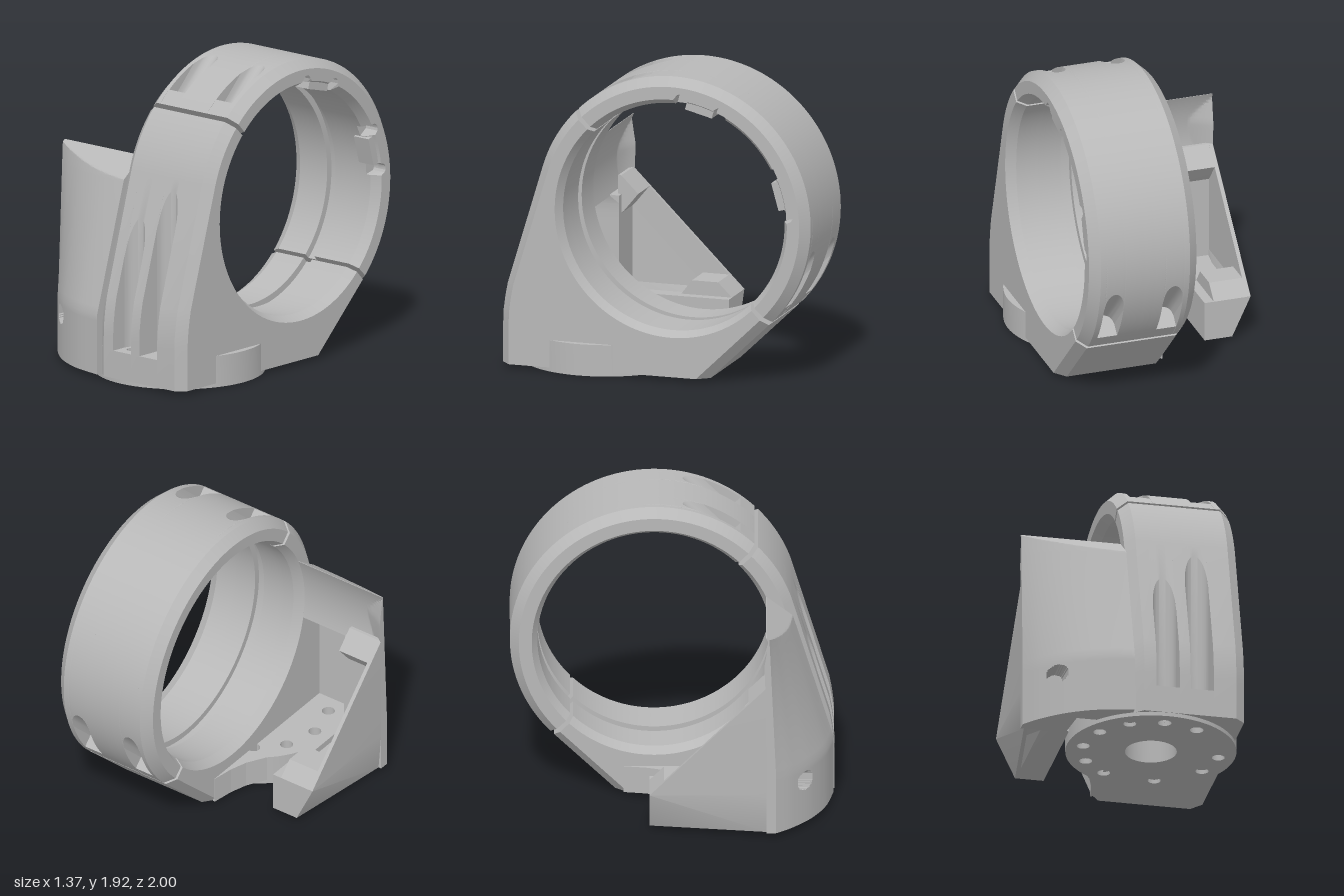
import * as THREE from 'three';
import { toCreasedNormals } from 'three/addons/utils/BufferGeometryUtils.js';

const CY = 1.03, CZ = -0.11, R = 0.89, BORE = 0.72, LEFT = -0.06, RIGHT = 0.64, GAP = 1;
const rad = THREE.MathUtils.degToRad, deg = THREE.MathUtils.radToDeg;
const polar = (r, a) => [CZ + r * Math.cos(rad(a)), CY + r * Math.sin(rad(a))];
const arc = (r, a0, a1, n) => Array.from({ length: n + 1 }, (_, i) => polar(r, a0 + (a1 - a0) * i / n));
const steps = (a, b, n) => Array.from({ length: n + 1 }, (_, i) => a + (b - a) * i / n);
const half = (r, d) => Math.sqrt(Math.max(0, r * r - d * d));
const alongX = (u, v, w) => [w, v, u]; // sections hold (z, y)
const alongY = (u, v, w) => [u, w, v]; // sections hold (x, z)
const alongZ = (u, v, w) => [u, v, w]; // sections hold (x, y)

// Closed solid through matching cross-sections: [{ at, pts }]
function loft(sections, place) {
  const toV2 = pts => pts.map(p => new THREE.Vector2(p[0], p[1]));
  if (THREE.ShapeUtils.area(toV2(sections[0].pts)) < 0) {
    sections = sections.map(s => ({ at: s.at, pts: s.pts.slice().reverse() }));
  }
  const n = sections[0].pts.length, last = sections.length - 1, pos = [], idx = [];
  sections.forEach(s => s.pts.forEach(p => pos.push(...place(p[0], p[1], s.at))));
  for (let k = 0; k < last; k++) {
    for (let i = 0; i < n; i++) {
      const a = k * n + i, b = k * n + (i + 1) % n;
      idx.push(a, b, b + n, a, b + n, a + n);
    }
  }
  for (const [a, b, c] of THREE.ShapeUtils.triangulateShape(toV2(sections[0].pts), [])) idx.push(a, c, b);
  for (const [a, b, c] of THREE.ShapeUtils.triangulateShape(toV2(sections[last].pts), [])) {
    idx.push(a + last * n, b + last * n, c + last * n);
  }
  // Turn the faces outwards when the axes are mirrored
  const v = i => new THREE.Vector3().fromArray(pos, i * 3);
  let volume = 0;
  for (let i = 0; i < idx.length; i += 3) volume += v(idx[i]).dot(v(idx[i + 1]).cross(v(idx[i + 2])));
  if (volume < 0) idx.reverse();
  const g = new THREE.BufferGeometry();
  g.setAttribute('position', new THREE.Float32BufferAttribute(pos, 3));
  g.setIndex(idx);
  return toCreasedNormals(g, 0.4);
}

// Lower housing profile; c insets the outer edge, b is the bore radius, slot cuts the front
function bodyProfile(c, b, slot) {
  const pts = arc(R - c, 45 - GAP, 17, 28);
  if (slot) {
    const { zi, zc, h } = slot;
    pts.push([zi, 1.29 - (zi - 0.74) * 3.304], [zi, 0.2]);
    if (h === null) pts.push([1, 0.2], [1, 0.025]);
    else pts.push([zc - h, 0.2], [zc - h, 0.025]);
  } else {
    pts.push([0.97 - c, 0.53], [0.985 - c, 0.45], [0.997 - c, 0.36], [1 - c, 0.28], [1 - c, 0.025]);
  }
  // Underside, recessed above the centre hole of the base
  pts.push([0.66, 0.025], [0.66, 0.18], [0.28, 0.18], [0.28, 0.025], [-0.35 + c * 1.4, 0.025]);
  return [...pts, polar(R - c, 225 + GAP), ...arc(b, 225 + GAP, 405 - GAP, 89)];
}

// Upper cap profile; si is the depth of the bolt pockets along the split
function capProfile(c, b, si, notched) {
  const r = R - c, pts = [];
  if (si) {
    const t = 0.127, a0 = 45 + deg(Math.asin(t / R)), a1 = 45 + deg(Math.acos(si / R));
    const floor = polar(Math.hypot(si, t), 45 + deg(Math.atan2(t, si)));
    const floor2 = polar(Math.hypot(si, t), 225 - deg(Math.atan2(t, si)));
    pts.push(polar(R, 45 + GAP), polar(R, a0), floor, ...arc(R, a1, 270 - a1, 120), floor2,
      polar(R, 270 - a0), polar(R, 225 - GAP));
  } else {
    pts.push(...arc(r, 45 + GAP, 225 - GAP, 178));
  }
  for (let a = 225 - GAP; a >= 45 + GAP; a--) {
    let rr = b;
    if (notched) for (const n of [94.5, 114.5, 154, 175]) {
      const d = 0.765 * rad(a - n);
      if (Math.abs(d) < 0.035) rr = Math.max(rr, 0.76 + half(0.035, d));
    }
    pts.push(polar(rr, a));
  }
  return pts;
}

export function createModel() {
  const root = new THREE.Group();
  const metal = new THREE.MeshStandardMaterial({ color: 0xb8b8b8 });
  metal.name = 'plain grey';
  const add = (name, geometry, parent = root) => {
    const m = new THREE.Mesh(geometry, metal);
    m.name = name;
    parent.add(m);
    return m;
  };
  const group = name => {
    const g = new THREE.Group();
    g.name = name;
    root.add(g);
    return g;
  };

  // Lower housing: chamfered ends, plain slabs, inner groove and two front bolt slots
  const body = group('lowerHousing');
  const plainBody = (name, x0, x1, c0, c1, b0, b1) => add(name, loft(
    [{ at: x0, pts: bodyProfile(c0, b0) }, { at: x1, pts: bodyProfile(c1, b1) }], alongX), body);
  plainBody('leftChamfer', LEFT, 0, 0.055, 0, 0.755, BORE);
  plainBody('leftSlab', 0, 0.077, 0, 0, BORE, BORE);
  plainBody('groove', 0.223, 0.292, 0, 0, 0.76, 0.76);
  plainBody('rightSlab', 0.438, 0.58, 0, 0, BORE, BORE);
  plainBody('rightChamfer', 0.58, RIGHT, 0, 0.055, BORE, 0.755);
  for (const [xc, zc] of [[0.15, 0.895], [0.365, 0.835]]) {
    const r = 0.073, hr = 0.042;
    for (const [d0, d1, holed] of [[-r, -hr, false], [-hr, hr, true], [hr, r, false]]) {
      const ds = steps(d0, d1, 8);
      add('boltSlot', loft(ds.map(d => ({
        at: xc + d,
        pts: bodyProfile(0, BORE, { zi: zc - half(r, d), zc, h: holed ? half(hr, d) : null }),
      })), alongX), body);
      if (holed) {
        add('slotLip', loft(ds.map(d => {
          const z = zc + half(hr, d);
          return { at: xc + d, pts: [[z, 0.025], [1, 0.025], [1, 0.2], [z, 0.2]] };
        }), alongX), body);
      }
    }
  }

  // Upper clamp cap with four bolt pockets
  const cap = group('clampCap');
  const plainCap = (name, x0, x1, c0, c1, b0, b1, notched) => add(name, loft(
    [{ at: x0, pts: capProfile(c0, b0, 0, notched) }, { at: x1, pts: capProfile(c1, b1, 0, notched) }], alongX), cap);
  plainCap('leftChamfer', LEFT, 0, 0.055, 0, 0.755, BORE);
  plainCap('leftSlab', 0, 0.03, 0, 0, BORE, BORE);
  plainCap('middleLeftSlab', 0.16, 0.223, 0, 0, BORE, BORE);
  plainCap('groove', 0.223, 0.292, 0, 0, 0.76, 0.76);
  plainCap('middleRightSlab', 0.292, 0.415, 0, 0, BORE, BORE);
  plainCap('rightSlab', 0.545, 0.58, 0, 0, BORE, BORE, true);
  plainCap('rightChamfer', 0.58, RIGHT, 0, 0.055, BORE, 0.755, true);
  for (const xc of [0.095, 0.48]) {
    add('boltPocket', loft(steps(-0.065, 0.065, 16).map(d => (
      { at: xc + d, pts: capProfile(0, BORE, 0.806 - half(0.065, d)) })), alongX), cap);
  }

  // Locating tabs inside the bore
  for (const a of [104.5, 164.5]) {
    const [z, y] = polar(0.735, a);
    const tab = add('locatingTab', new THREE.BoxGeometry(0.12, 0.075, 0.18), cap);
    tab.position.set(0.565, y, z);
    tab.rotation.x = rad(90 - a);
  }

  // Round mounting base with a centre hole and bolt circle
  const flat = (shape, y0, y1) => new THREE.ExtrudeGeometry(shape,
    { depth: y1 - y0, bevelEnabled: false, curveSegments: 48 }).rotateX(Math.PI / 2).translate(0, y1, 0);
  const disc = new THREE.Shape().absarc(0.155, 0.47, 0.528, 0, Math.PI * 2);
  const hole = (x, z, r) => disc.holes.push(new THREE.Path().absarc(x, z, r, 0, Math.PI * 2, true));
  hole(0.155, 0.47, 0.16);
  hole(0.15, 0.895, 0.042);
  hole(0.365, 0.835, 0.042);
  for (const a of [239, 211, 181, 0, 330, 285, 120, 150]) {
    hole(0.155 + 0.425 * Math.cos(rad(a)), 0.47 + 0.425 * Math.sin(rad(a)), 0.04);
  }
  add('mountingBase', toCreasedNormals(flat(disc, 0, 0.199), 0.4));
  const fillet = new THREE.Shape([[-0.05, -0.3], [-0.062, -0.3], [-0.085, -0.16], [-0.12, -0.05], [-0.19, 0.07],
    [-0.05, -0.02]].map(p => new THREE.Vector2(...p)));
  add('baseFillet', flat(fillet, 0.025, 0.199));

  // Side wing: curved front wall leaning back to its top edge, hollowed behind in line with the bore
  const curve = new THREE.SplineCurve([[-0.69, 0.64], [-0.6, 0.745], [-0.45, 0.865], [-0.27, 0.95], [-0.06, 0.995]]
    .map(p => new THREE.Vector2(...p)));
  const outline = curve.getPoints(120);
  const bottomZ = x => {
    const i = Math.max(1, outline.findIndex(p => p.x >= x - 1e-6));
    const a = outline[i - 1], b = outline[i];
    return a.y + (b.y - a.y) * (x - a.x) / (b.x - a.x);
  };
  const lean = y => y < 0.4 ? 1 : y < 1.21 ? 1 - 0.6 * (y - 0.4) / 0.81 : 0.4 - 0.8 * (y - 1.21);
  const wingFront = (x, y) => Math.min(0.582 + (1.34 - y) * 1.3, 0.58 + (bottomZ(x) - 0.58) * lean(y));
  const wingBack = (x, y) => {
    if (y > 0.88) return CZ + half(0.755, y - CY);
    return x > -0.39 ? Math.min(0.8, 0.63 + (0.88 - y) * 2) : 0.58;
  };
  const xs = [...steps(-0.69, -0.59, 5), ...steps(-0.575, -0.445, 22), ...steps(-0.43, -0.06, 16)];
  const ys = [0.025, 0.12, 0.22, ...steps(0.24, 0.365, 22), ...steps(0.4, 0.88, 10), ...steps(0.89, 1.2, 12),
    ...steps(1.21, 1.34, 20)];
  add('sideWing', loft(ys.map(y => {
    const front = xs.map(x => {
      const inHole = Math.hypot(x + 0.51, y - 0.303) < 0.058;
      return [x, wingFront(x, y) - (inHole ? 0.15 : 0)];
    });
    const back = xs.map(x => {
      const skin = Math.min(0.04, 0.0005 + 0.2 * (1.34 - y));
      return [x, Math.min(wingBack(x, y), wingFront(x, y) - skin)];
    });
    return { at: y, pts: front.concat(back.reverse()) };
  }), alongY));

  // Side arm: sloping outer wall tucked in at its foot, end block, inner ledge and top stop
  const arm = group('sideArm');
  const wall = (z, foot) => ({ at: z, pts: [[foot, 0.025], [-0.69, 0.28], [-0.69, z + 0.421], [-0.665, z + 0.421],
    [-0.665, 0.28], [foot + 0.025, 0.025]] });
  add('outerWall', loft([wall(-0.14, -0.57), wall(0.58, -0.67)], alongZ), arm);
  const block = (x, rearFoot) => ({ at: x, pts: [[-0.14, rearFoot], [0.58, 0.025], [0.58, 0.24], [0.22, 0.24],
    [0.12, 0.37], [-0.05, 0.37], [-0.14, 0.28]] });
  add('endBlock', loft([block(-0.67, 0.24), block(-0.565, 0.025), block(-0.45, 0.025)], alongX), arm);
  const slab = (name, x0, x1, pts) => add(name, loft([{ at: x0, pts }, { at: x1, pts }], alongX), arm);
  slab('innerLedge', -0.45, -0.39, [[-0.14, 0.025], [0.6, 0.025], [0.6, 0.28], [-0.14, 0.28]]);
  slab('topStop', -0.67, -0.45, [[0.6, 0.74], [0.6, 1.0], [0.58, 1.0], [0.47, 0.89], [0.56, 0.78]]);
  return root;
}
